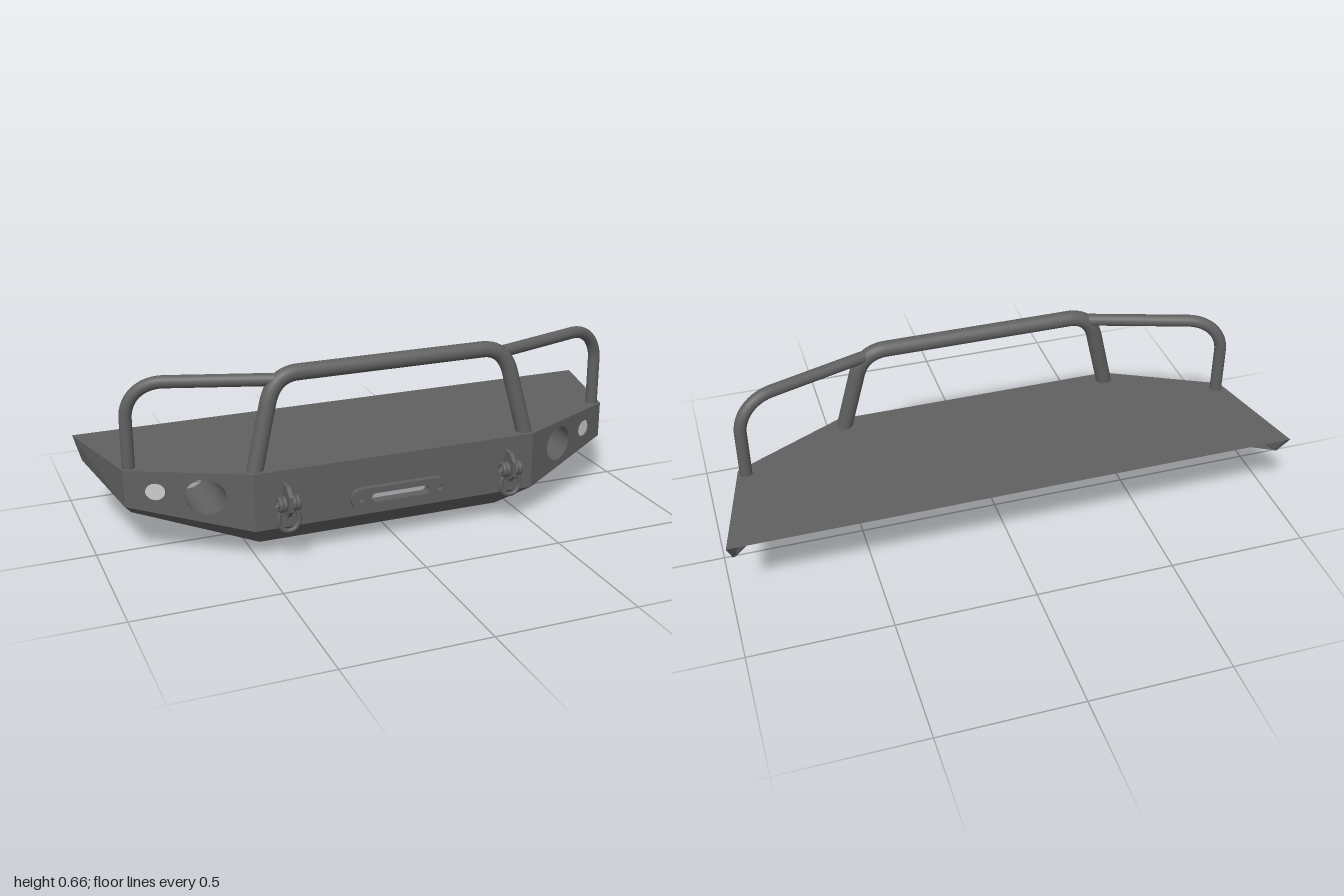
import * as THREE from 'three';

const steel = new THREE.MeshStandardMaterial({ color: 0x606060, side: THREE.DoubleSide });
const lensMat = new THREE.MeshStandardMaterial({ color: 0xcccccc, side: THREE.DoubleSide });
const V = (x, y, z) => new THREE.Vector3(x, y, z);

// Depth of the front wall at x, outer and inner skins
const outerZ = x => Math.min(0.262, 0.262 - (Math.abs(x) - 0.515) * 0.4974);
const innerZ = x => Math.min(0.245, 0.245 - (Math.abs(x) - 0.51) * 0.5132);
const LAMP = { x: 0.66, y: 0.235, r: 0.063 };
const SPOT = { x: 0.81, y: 0.247, r: 0.031 };

function add(parent, name, geo, mat = steel) {
  const m = new THREE.Mesh(geo, mat);
  m.name = name;
  parent.add(m);
  return m;
}

function circle(x, y, r) {
  return new THREE.Path().absarc(x, y, r, 0, Math.PI * 2, true);
}

// Rounded slot (stadium) outline
function slot(shape, halfLength, r, y) {
  const c = halfLength - r;
  shape.absarc(c, y, r, -Math.PI / 2, Math.PI / 2, false);
  shape.absarc(-c, y, r, Math.PI / 2, Math.PI * 1.5, false);
  shape.closePath();
  return shape;
}

// Flat-shaded surface from a list of quads
function quads(list) {
  const pts = [];
  for (const [a, b, c, d] of list) pts.push(a, b, c, a, c, d);
  const g = new THREE.BufferGeometry().setFromPoints(pts);
  g.computeVertexNormals();
  return g;
}

// Vertical wall drawn in x, y and pushed onto the depth rule
function wall(points, holes, depth) {
  const s = new THREE.Shape(points.map(p => new THREE.Vector2(...p)));
  s.holes.push(...holes);
  const g = new THREE.ShapeGeometry(s, 24).toNonIndexed();
  const p = g.attributes.position;
  for (let i = 0; i < p.count; i++) p.setZ(i, depth(p.getX(i)));
  g.computeVertexNormals();
  return g;
}

// Cylinder along z whose front end follows the slanted wall
function lampTube(side, lamp, back) {
  const g = new THREE.CylinderGeometry(lamp.r, lamp.r, 1, 32, 1, true);
  g.rotateX(Math.PI / 2).translate(side * lamp.x, lamp.y, 0);
  const p = g.attributes.position;
  for (let i = 0; i < p.count; i++) p.setZ(i, p.getZ(i) > 0 ? outerZ(p.getX(i)) : back);
  return g;
}

function buildShell(g) {
  // Section at rear end, corner and centre: outer top, mid, low, inner low, mid, top
  const half = [
    [[1, 0.32, -0.327], [0.98, 0.24, -0.28], [0.98, 0.24, -0.28],
      [0.97, 0.243, -0.28], [0.97, 0.248, -0.28], [0.985, 0.32, -0.327]],
    [[0.905, 0.32, 0.068], [0.905, 0.19, 0.068], [0.87, 0.133, -0.012],
      [0.85, 0.13, -0.037], [0.89, 0.2, 0.05], [0.89, 0.32, 0.05]],
    [[0.515, 0.32, 0.262], [0.515, 0.115, 0.262], [0.455, 0, 0.105],
      [0.45, 0, 0.075], [0.51, 0.123, 0.245], [0.51, 0.32, 0.245]],
  ];
  const right = half.map(s => s.map(([x, y, z]) => V(-x, y, z)));
  const left = half.map(s => s.map(p => V(...p))).reverse();
  const sections = [...right, ...left];
  const list = [];
  for (let i = 0; i < 5; i++) {
    for (let j = 0; j < 5; j++) {
      const pierced = i > 0 && i < 4 && (j === 0 || j === 4);
      if (pierced) continue;
      const a = sections[i], b = sections[i + 1];
      list.push([a[j], a[j + 1], b[j + 1], b[j]]);
    }
  }
  const [r, l] = [sections[0], sections[5]];
  list.push([r[0], r[5], r[4], r[1]], [l[0], l[1], l[4], l[5]]);
  add(g, 'bumperShell', quads(list));

  // Pierced front walls, outer and inner skin
  for (const [skin, depth, k] of [['outer', outerZ, 0], ['inner', innerZ, 5]]) {
    const m = k ? 4 : 1;
    const xy = (s, j) => [sections[s][j].x, sections[s][j].y];
    add(g, skin + 'CentreWall', wall([xy(2, m), xy(3, m), xy(3, k), xy(2, k)],
      [slot(new THREE.Path(), 0.107, 0.016, 0.179)], depth));
    for (const [side, s] of [[-1, 1], [1, 3]]) {
      const holes = [LAMP, SPOT].map(h => circle(side * h.x, h.y, h.r));
      add(g, skin + 'LampWall', wall([xy(s, m), xy(s + 1, m), xy(s + 1, k), xy(s, k)], holes, depth));
    }
  }

  // Flat top plate
  const top = new THREE.Shape(sections.map(s => new THREE.Vector2(s[0].x, -s[0].z)));
  add(g, 'topPlate', new THREE.ShapeGeometry(top).rotateX(-Math.PI / 2).translate(0, 0.32, 0));
}

function buildLamps(g, side) {
  add(g, 'lampTube', lampTube(side, LAMP, -0.05));
  add(g, 'spotTube', lampTube(side, SPOT, -0.08));
  const lens = new THREE.Shape().absarc(side * SPOT.x, SPOT.y, SPOT.r, 0, Math.PI * 2);
  const geo = new THREE.ShapeGeometry(lens, 24);
  const p = geo.attributes.position;
  for (let i = 0; i < p.count; i++) p.setZ(i, outerZ(p.getX(i)) - 0.008);
  geo.computeVertexNormals();
  add(g, 'spotLens', geo, lensMat);
  add(g, 'spotBackCap', new THREE.CircleGeometry(SPOT.r, 32).translate(side * SPOT.x, SPOT.y, -0.08));
}

// Pipe with straight runs and rounded corners
function pipe(pieces, r, segs) {
  const path = new THREE.CurvePath();
  pieces.forEach(c => path.add(c));
  return new THREE.TubeGeometry(path, segs, r, 20, false);
}

function buildHoops(g) {
  const leg = s => [V(s * 0.503, 0.3, 0.223), V(s * 0.442, 0.545, 0.205),
    V(s * 0.417, 0.632, 0.198), V(s * 0.335, 0.632, 0.198)];
  const [a, b] = [leg(-1), leg(1)];
  add(g, 'centreHoop', pipe([
    new THREE.LineCurve3(a[0], a[1]),
    new THREE.QuadraticBezierCurve3(a[1], a[2], a[3]),
    new THREE.LineCurve3(a[3], b[3]),
    new THREE.QuadraticBezierCurve3(b[3], b[2], b[1]),
    new THREE.LineCurve3(b[1], b[0]),
  ], 0.028, 120));
  for (const s of [-1, 1]) {
    const foot = V(s * 0.88, 0.3, 0.045), bend = V(s * 0.88, 0.49, 0.045);
    const run = V(s * 0.755, 0.615, 0.085), end = V(s * 0.415, 0.615, 0.196);
    add(g, 'sideHoop', pipe([
      new THREE.LineCurve3(foot, bend),
      new THREE.CubicBezierCurve3(bend, V(s * 0.88, 0.56, 0.045), V(s * 0.83, 0.615, 0.061), run),
      new THREE.LineCurve3(run, end),
    ], 0.0215, 90));
  }
}

// Slotted plate for the winch rope, lining the slot behind it
function buildFairlead(g) {
  const s = slot(new THREE.Shape(), 0.18, 0.038, 0.179);
  s.holes.push(slot(new THREE.Path(), 0.107, 0.016, 0.179));
  for (const x of [-0.145, 0.145]) s.holes.push(circle(x, 0.179, 0.011));
  const geo = new THREE.ExtrudeGeometry(s, { depth: 0.037, bevelEnabled: false, curveSegments: 16 });
  add(g, 'fairlead', geo.translate(0, 0, 0.245));
}

function buildShackle(parent, x) {
  const g = new THREE.Group();
  g.name = 'shackle';
  g.position.set(x, 0.217, 0.3);
  parent.add(g);
  // Chamfered tab, outline in z, y
  const s = new THREE.Shape([[-0.045, -0.05], [0, -0.05], [0.029, -0.022], [0.029, 0.031], [0.002, 0.058],
    [-0.045, 0.058]].map(p => new THREE.Vector2(...p)));
  s.holes.push(circle(0, 0, 0.013));
  const tab = new THREE.ExtrudeGeometry(s, { depth: 0.014, bevelEnabled: false });
  add(g, 'shackleTab', tab.rotateY(-Math.PI / 2).translate(0.007, 0, 0));
  // Eyes and hollow pin
  for (const e of [-0.03, -0.016, 0.016, 0.03]) {
    add(g, 'shackleEye', new THREE.TorusGeometry(0.019, 0.008, 10, 24).rotateY(Math.PI / 2).translate(e, 0, 0));
  }
  add(g, 'shacklePin', new THREE.CylinderGeometry(0.013, 0.013, 0.084, 20, 1, true).rotateZ(Math.PI / 2));
  // Hanging bow
  const bow = [[-0.02, -0.01], [-0.034, -0.042], [-0.035, -0.07], [-0.02, -0.092], [0, -0.098],
    [0.02, -0.092], [0.035, -0.07], [0.034, -0.042], [0.02, -0.01]].map(([u, v]) => V(u, v, 0));
  add(g, 'shackleBow', new THREE.TubeGeometry(new THREE.CatmullRomCurve3(bow), 48, 0.008, 10));
}

export function createModel() {
  const g = new THREE.Group();
  g.name = 'frontBumper';
  buildShell(g);
  buildHoops(g);
  buildFairlead(g);
  for (const side of [-1, 1]) {
    buildLamps(g, side);
    buildShackle(g, side * 0.41);
  }
  return g;
}
